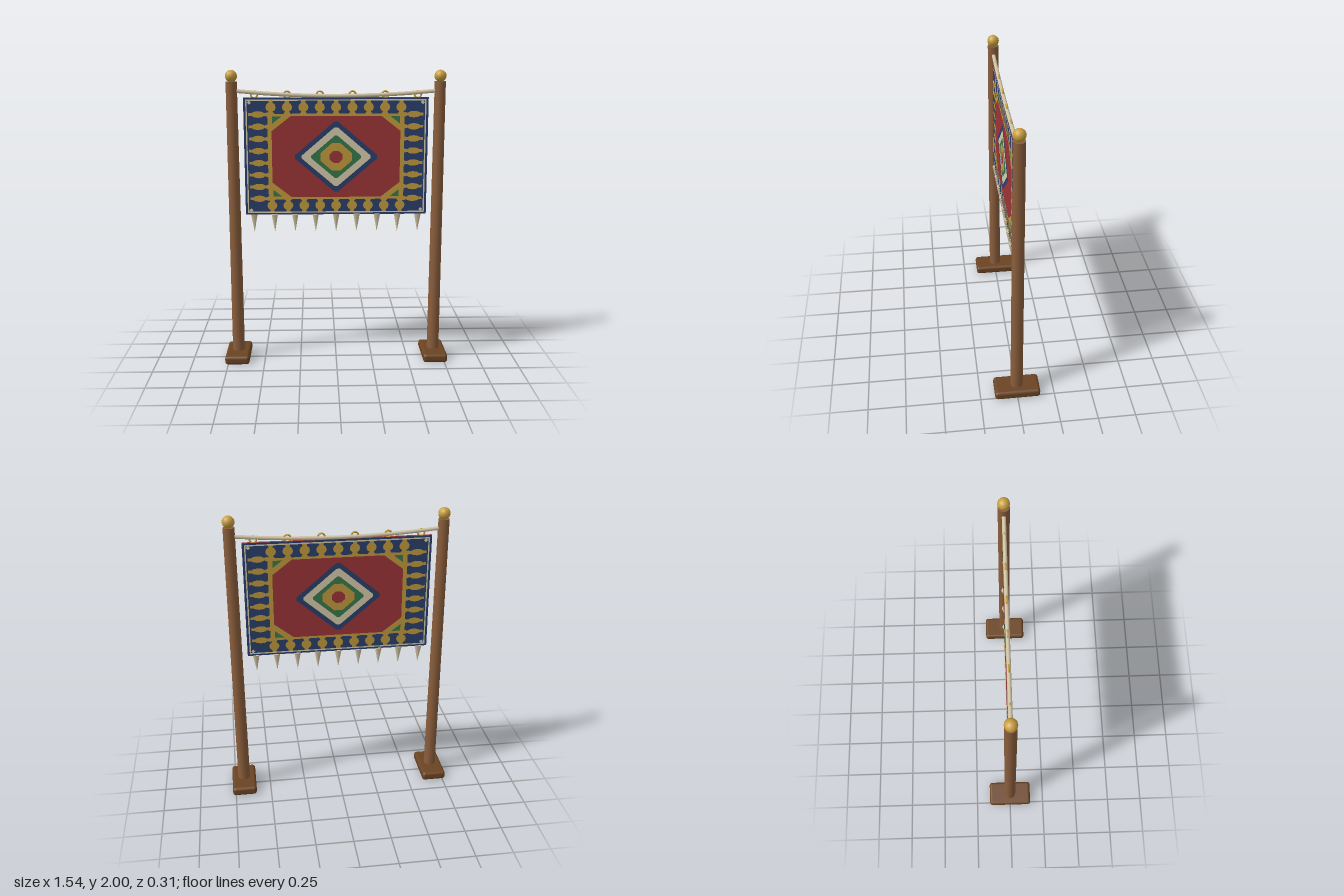
import * as THREE from 'three';
import { RoundedBoxGeometry } from 'three/addons/geometries/RoundedBoxGeometry.js';

const mat = (name, color) => {
  const m = new THREE.MeshStandardMaterial({ color });
  m.name = name;
  return m;
};

export function createModel() {
  const wood = mat('post wood', 0x8b5e3c);
  const darkWood = mat('base wood', 0x6b4423);
  const brass = mat('brass', 0xc9a040);
  const cord = mat('cord', 0xd2c5a5);
  const navy = mat('navy wool', 0x2a3f6c);
  const red = mat('red wool', 0x9c3436);
  const gold = mat('gold wool', 0xc29a3c);
  const cream = mat('cream wool', 0xd8ccac);
  const green = mat('green wool', 0x37784a);

  const model = new THREE.Group();
  model.name = 'hangingRug';
  const add = (parent, name, geometry, material, x = 0, y = 0, z = 0) => {
    const mesh = new THREE.Mesh(geometry, material);
    mesh.name = name;
    mesh.position.set(x, y, z);
    parent.add(mesh);
    return mesh;
  };

  // Posts with bases and finials
  for (const [side, s] of [['left', 1], ['right', -1]]) {
    const x = s * 0.687;
    add(model, side + 'Base', new RoundedBoxGeometry(0.168, 0.06, 0.306, 2, 0.02), darkWood, x, 0.03);
    add(model, side + 'Post', new THREE.CylinderGeometry(0.037, 0.042, 1.905, 12), wood, x, 0.9725);
    add(model, side + 'Finial', new THREE.SphereGeometry(0.04, 12, 10), brass, x, 1.96);
  }

  // Sagging rope and the rings on it
  const ropePoints = [];
  for (let i = 0; i <= 8; i++) {
    const t = i / 4 - 1;
    ropePoints.push(new THREE.Vector3(t * 0.67, 1.831 + 0.034 * t * t, 0));
  }
  add(model, 'rope', new THREE.TubeGeometry(new THREE.CatmullRomCurve3(ropePoints), 24, 0.013, 8), cord);
  for (let i = 0; i < 6; i++) {
    add(model, 'ring', new THREE.TorusGeometry(0.022, 0.006, 6, 14), brass, (i - 2.5) * 0.216, 1.84);
  }

  // Rug body
  const W = 0.612, H = 0.394, T = 0.02;
  const rug = new THREE.Group();
  rug.name = 'rug';
  rug.position.y = 1.427;
  model.add(rug);
  add(rug, 'rugBody', new THREE.BoxGeometry(2 * W, 2 * H, T), [navy, navy, red, red, navy, navy]);

  // Woven pattern, stacked in thin layers
  const poly = (pts) => new THREE.Shape(pts.map(([x, y]) => new THREE.Vector2(x, y)));
  const rect = (w, h) => poly([[-w, -h], [w, -h], [w, h], [-w, h]]);
  const frame = (w, h, t) => {
    const shape = rect(w, h);
    shape.holes.push(rect(w - t, h - t));
    return shape;
  };
  // Rectangle with cut corners; a cut of the full size gives a diamond
  const cutRect = (w, h, cx, cy) => poly([
    [-w, cy - h], [cx - w, -h], [w - cx, -h], [w, cy - h],
    [w, h - cy], [w - cx, h], [cx - w, h], [-w, h - cy]]);
  const diamond = (w, h) => cutRect(w, h, w * 0.95, h * 0.95);
  // Border motif between two points, half as wide as hw says
  const profile = [[0, 0.45], [0.15, 0.4], [0.28, 0.8], [0.48, 1], [0.68, 0.85], [0.82, 0.4], [1, 0.75]];
  const motif = (x0, y0, x1, y1, hw) => {
    const len = Math.hypot(x1 - x0, y1 - y0);
    const nx = (y0 - y1) / len * hw, ny = (x1 - x0) / len * hw;
    const at = (sign) => ([u, w]) => [x0 + (x1 - x0) * u + nx * w * sign, y0 + (y1 - y0) * u + ny * w * sign];
    return poly([...profile.map(at(1)), ...profile.map(at(-1)).reverse()]);
  };

  const motifs = [], corners = [], dots = [];
  for (const s of [-1, 1]) {
    for (let i = -4; i <= 4; i++) motifs.push(motif(i * 0.108, s * 0.374, i * 0.108, s * 0.286, 0.034));
    for (let i = 0; i < 8; i++) {
      const y = (i - 3.5) * 0.081;
      motifs.push(motif(s * 0.58, y, s * 0.452, y, 0.022));
    }
    for (const t of [-1, 1]) {
      corners.push(poly([[s * 0.424, t * 0.27], [s * 0.362, t * 0.27], [s * 0.424, t * 0.222]]));
      const x = s * 0.574, y = t * 0.362;
      dots.push(poly([[x - 0.014, y], [x, y - 0.014], [x + 0.014, y], [x, y + 0.014]]));
    }
  }

  const layers = [
    ['edgeLine', frame(0.598, 0.382, 0.009), cream, 1],
    ['cornerDots', dots, cream, 1],
    ['borderMotifs', motifs, gold, 1],
    ['goldField', rect(0.455, 0.288), gold, 2],
    ['redField', cutRect(0.428, 0.273, 0.128, 0.1), red, 3],
    ['cornerPatches', corners, green, 3],
    ['navyDiamond', diamond(0.275, 0.235), navy, 4],
    ['creamDiamond', diamond(0.23, 0.197), cream, 5],
    ['greenDiamond', diamond(0.168, 0.143), green, 6],
    ['goldDiamond', cutRect(0.106, 0.093, 0.078, 0.068), gold, 7],
    ['redCentre', cutRect(0.043, 0.04, 0.025, 0.023), red, 8],
  ];
  for (const [side, turn] of [['front', 0], ['back', Math.PI]]) {
    const face = new THREE.Group();
    face.name = side + 'Pattern';
    face.rotation.y = turn;
    rug.add(face);
    for (const [name, shapes, material, level] of layers) {
      add(face, name, new THREE.ShapeGeometry(shapes), material, 0, 0, T / 2 + level * 0.0008);
    }
  }

  // Tassels along the lower edge
  for (let i = -4; i <= 4; i++) {
    const tassel = add(model, 'tassel', new THREE.ConeGeometry(0.025, 0.125, 6), cord, i * 0.139, 0.973);
    tassel.rotation.x = Math.PI;
  }
  return model;
}
